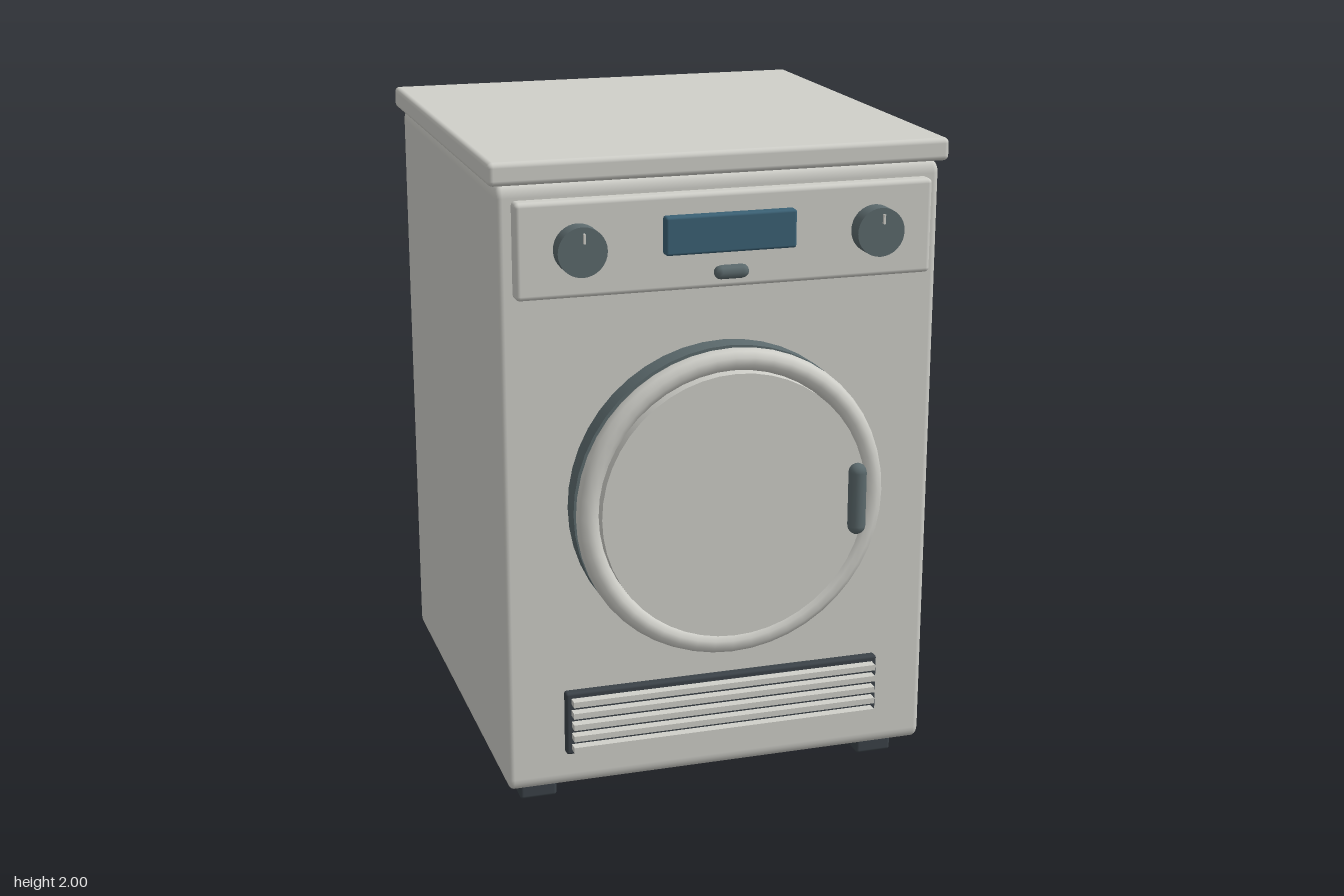
import * as THREE from 'three';
import { RoundedBoxGeometry } from 'three/addons/geometries/RoundedBoxGeometry.js';

const mat = (name, color) => {
  const m = new THREE.MeshStandardMaterial({ color });
  m.name = name;
  return m;
};

export function createModel() {
  const enamel = mat('warm grey enamel', 0xcfcfc9);
  const slate = mat('slate plastic', 0x5c6a6d);
  const charcoal = mat('charcoal rubber', 0x3b4248);
  const glass = mat('blue display', 0x3b6175);

  const model = new THREE.Group();
  model.name = 'tumbleDryer';

  const add = (name, geometry, material, x, y, z, parent = model) => {
    const mesh = new THREE.Mesh(geometry, material);
    mesh.name = name;
    mesh.position.set(x, y, z);
    parent.add(mesh);
    return mesh;
  };
  const group = (name) => {
    const g = new THREE.Group();
    g.name = name;
    model.add(g);
    return g;
  };
  const rounded = (w, h, d, r) => new RoundedBoxGeometry(w, h, d, 3, r);
  // Cylinder whose axis points to the front
  const disc = (r, depth, sides) => new THREE.CylinderGeometry(r, r, depth, sides).rotateX(Math.PI / 2);

  // Cabinet, with taller rounding at top and bottom, and worktop
  const cabinet = rounded(1.334, 1.85 / 1.75, 1.384, 0.02).scale(1, 1.75, 1);
  add('cabinet', cabinet, enamel, 0, 1.005, -0.085);
  add('worktop', rounded(1.38, 0.068, 1.424, 0.016), enamel, 0, 1.966, -0.088);

  // Feet
  for (const x of [-0.552, 0.552]) {
    for (const z of [0.458, -0.628]) {
      add('foot', rounded(0.115, 0.085, 0.115, 0.01), charcoal, x, 0.0425, z);
    }
  }

  // Control panel
  const controls = group('controlPanel');
  add('panel', rounded(1.25, 0.28, 0.055, 0.014), enamel, 0, 1.75, 0.63, controls);
  add('display', rounded(0.392, 0.112, 0.04, 0.008), glass, 0, 1.775, 0.667, controls);
  const button = new THREE.CapsuleGeometry(0.021, 0.062, 3, 8).rotateZ(Math.PI / 2);
  add('button', button, slate, 0, 1.662, 0.682, controls);
  for (const x of [-0.445, 0.445]) {
    add('knob', disc(0.072, 0.06, 32), slate, x, 1.753, 0.682, controls);
    add('knobPointer', new THREE.BoxGeometry(0.006, 0.028, 0.01), enamel, x, 1.796, 0.731, controls);
  }

  // Round door
  const door = group('door');
  add('doorSeal', disc(0.472, 0.07, 48), slate, 0, 0.97, 0.64, door);
  add('doorRim', new THREE.TorusGeometry(0.438, 0.034, 10, 48), enamel, 0, 0.97, 0.702, door);
  add('doorFace', disc(0.405, 0.08, 48), enamel, 0, 0.97, 0.704, door);
  add('doorHandle', new THREE.CapsuleGeometry(0.027, 0.166, 4, 12), slate, 0.366, 0.97, 0.776, door);

  // Vent grille
  const vent = group('ventGrille');
  add('ventFrame', rounded(0.992, 0.2, 0.032, 0.008), charcoal, 0, 0.3, 0.638, vent);
  for (let i = 0; i < 5; i++) {
    add('ventSlat', new THREE.BoxGeometry(0.96, 0.018, 0.034), enamel, 0, 0.226 + i * 0.037, 0.667, vent);
  }

  return model;
}
